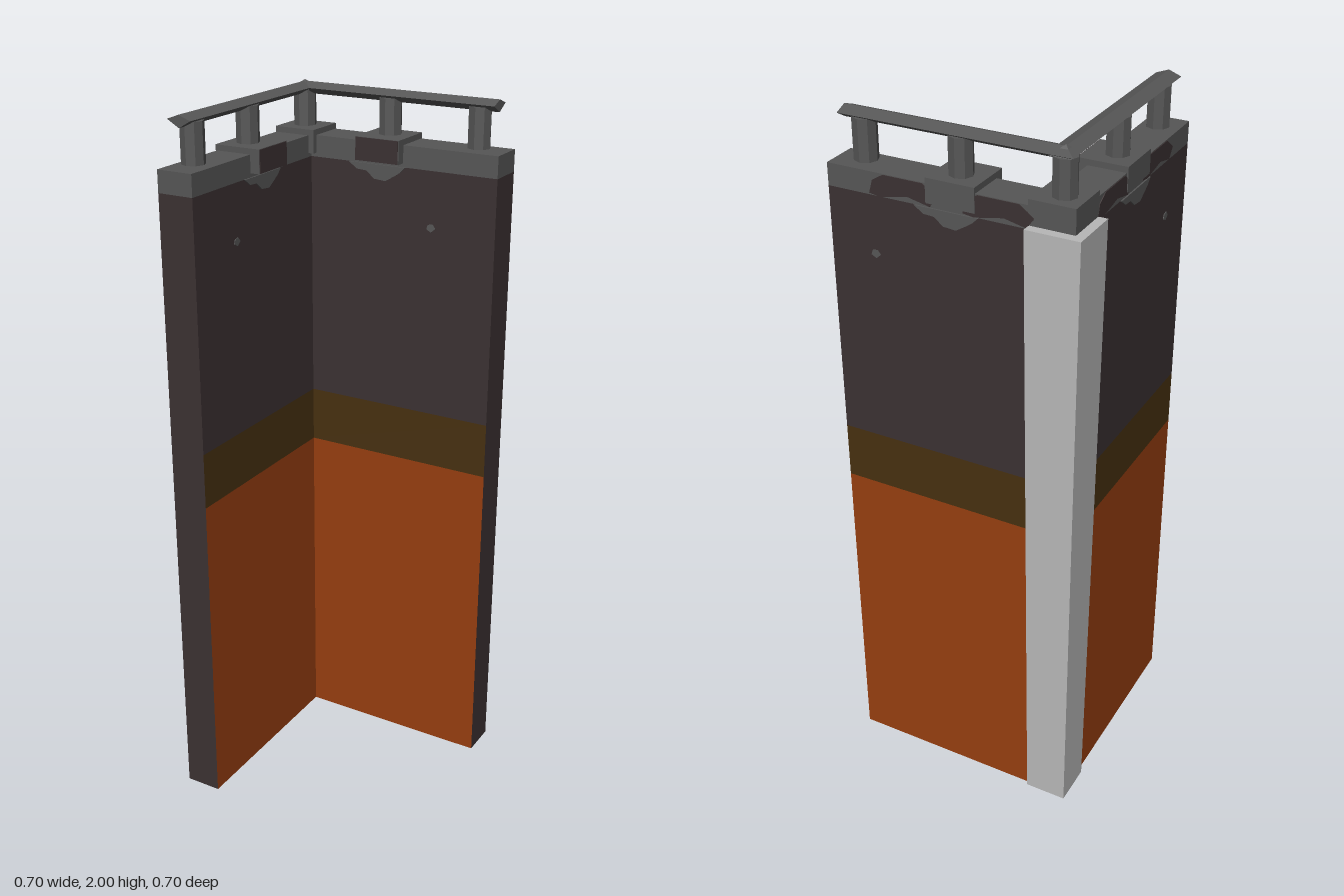
import * as THREE from 'three';

const mat = (name, color) => {
  const m = new THREE.MeshStandardMaterial({ color, side: THREE.DoubleSide });
  m.name = name;
  return m;
};

// Vertical faces along a path of [x, z] points; the top path may differ for a taper
function ribbon(path, y0, y1, top = path) {
  const pos = [];
  for (let i = 0; i < path.length - 1; i++) {
    const a = [path[i][0], y0, path[i][1]], b = [path[i + 1][0], y0, path[i + 1][1]];
    const c = [top[i + 1][0], y1, top[i + 1][1]], d = [top[i][0], y1, top[i][1]];
    pos.push(...a, ...b, ...c, ...a, ...c, ...d);
  }
  return fromPositions(pos);
}

function fromPositions(pos) {
  const g = new THREE.BufferGeometry();
  g.setAttribute('position', new THREE.Float32BufferAttribute(pos, 3));
  g.computeVertexNormals();
  return g;
}

const shapeOf = (pts) => new THREE.Shape(pts.map(([x, y]) => new THREE.Vector2(x, y)));
const floorShape = (pts) => shapeOf(pts.map(([x, z]) => [x, -z]));

export function createModel() {
  const root = new THREE.Group();
  const orange = mat('rust orange', 0x963e10);
  const olive = mat('dark olive', 0x473010);
  const dark = mat('dark plaster', 0x3b3132);
  const gray = mat('stone gray', 0x565656);
  const light = mat('light gray', 0xb8b8b8);

  const add = (name, geo, material, parent = root) => {
    const m = new THREE.Mesh(geo, material);
    m.name = name;
    parent.add(m);
    return m;
  };

  // L-shaped wall footprint
  const O = -0.325, I = -0.22, E = 0.35;
  const outer = [[E, O], [O, O], [O, E]];
  const inner = [[I, E], [I, I], [E, I]];

  // Painted wall bands, hollow and open underneath
  const bands = [['lowerBand', 0, 0.94, orange], ['middleBand', 0.94, 1.1, olive], ['upperBand', 1.1, 1.8, dark]];
  for (const [name, y0, y1, m] of bands) {
    add(name + 'Outer', ribbon(outer, y0, y1), m);
    add(name + 'Inner', ribbon(inner, y0, y1), m);
  }
  add('wallEndFront', ribbon([[O, E], [I, E]], 0, 1.8), dark);
  add('wallEndSide', ribbon([[E, I], [E, O]], 0, 1.8), dark);

  // Stone cap over the wall
  const cap = new THREE.ExtrudeGeometry(floorShape([...outer, ...inner]), { depth: 0.06, bevelEnabled: false });
  cap.rotateX(-Math.PI / 2).translate(0, 1.8, 0);
  add('wallCap', cap, gray);

  // Tapered corner guard wrapping the outer corner
  const guard = (far, near) => [[near, O], [near, far], [far, far], [far, near], [O, near]];
  const guardTop = guard(-0.351, -0.205);
  add('cornerGuard', ribbon(guard(-0.336, -0.215), 0, 1.81, guardTop), light);
  const lid = new THREE.ShapeGeometry(floorShape([...guardTop, [O, O]]));
  lid.rotateX(-Math.PI / 2).translate(0, 1.81, 0);
  add('cornerGuardTop', lid, light);

  // Corner block and post
  add('cornerBlock', new THREE.BoxGeometry(0.123, 0.065, 0.123), gray).position.set(-0.265, 1.8435, -0.265);
  const postGeo = new THREE.CylinderGeometry(0.032, 0.032, 0.11, 8).toNonIndexed();
  postGeo.computeVertexNormals();
  add('cornerPost', postGeo, gray).position.set(-0.27, 1.92, -0.27);

  // Worn patches, outlined along the wall and up
  const plate = (pts) => new THREE.ExtrudeGeometry(shapeOf(pts), { depth: 0.004, bevelEnabled: false });
  const drip = plate([[-0.1, 1.8], [-0.075, 1.782], [-0.045, 1.78], [-0.02, 1.76], [0.015, 1.757],
    [0.045, 1.775], [0.06, 1.785], [0.075, 1.8]]);
  const chip = plate([[-0.09, 1.805], [-0.06, 1.8], [0.02, 1.815], [0.08, 1.802], [0.1, 1.83],
    [0.06, 1.858], [-0.05, 1.858], [-0.08, 1.84]]);
  const speck = plate([[-0.014, 1.64], [0, 1.632], [0.013, 1.643], [0.004, 1.655], [-0.01, 1.652]]);

  // Both wings share the same fittings: u runs along the wing, v across it
  for (const wing of [0, 1]) {
    const g = new THREE.Group();
    g.name = wing ? 'sideWingFittings' : 'backWingFittings';
    root.add(g);
    const put = (name, geo, m, u, y, v, turn = 0) => {
      const mesh = add(name, geo, m, g);
      mesh.position.set(wing ? v : u, y, wing ? u : v);
      mesh.rotation.y = (wing ? Math.PI / 2 : 0) + turn;
    };
    const mid = wing ? 0.021 : 0.003;
    put('middleBlock', new THREE.BoxGeometry(0.134, 0.065, 0.137), gray, mid, 1.8435, -0.2605);
    put('blockFace', new THREE.BoxGeometry(0.13, 0.063, 0.003), dark, mid, 1.8435, -0.1915);
    put('middlePost', postGeo, gray, mid, 1.92, -0.27);
    put('endPost', postGeo, gray, 0.27, 1.92, -0.27);
    put('innerDrip', drip, gray, mid, 0, I);
    put('innerSpeck', speck, gray, 0.16, 0, I - 0.002);
    put('outerDrip', drip, gray, mid, 0, O, Math.PI);
    put('outerSpeck', speck, gray, 0.22, 0, O + 0.002, Math.PI);
    for (const u of [-0.12, 0.14]) put('capChip', chip, dark, u, 0, O + 0.002, Math.PI);
  }

  // Mitred ridge rail over the posts
  const section = [[-0.235, 1.983], [-0.27, 1.996], [-0.305, 1.983], [-0.27, 1.963]];
  const rings = [
    section.map(([v, y]) => [0.325, y, v]),
    section.map(([v, y]) => [v, y, v]),
    section.map(([v, y]) => [v, y, 0.325]),
  ];
  const pos = [];
  const quad = (a, b, c, d) => pos.push(...a, ...b, ...c, ...a, ...c, ...d);
  for (let r = 0; r < 2; r++) {
    for (let i = 0; i < 4; i++) {
      const j = (i + 1) % 4;
      quad(rings[r][i], rings[r][j], rings[r + 1][j], rings[r + 1][i]);
    }
  }
  quad(...[...rings[0]].reverse());
  quad(...rings[2]);
  add('rail', fromPositions(pos), gray);

  // Small pyramid where the rails meet
  const tip = new THREE.ConeGeometry(0.042, 0.022, 4).toNonIndexed();
  tip.rotateY(Math.PI / 4);
  tip.computeVertexNormals();
  add('railCorner', tip, gray).position.set(-0.27, 1.989, -0.27);

  return root;
}
